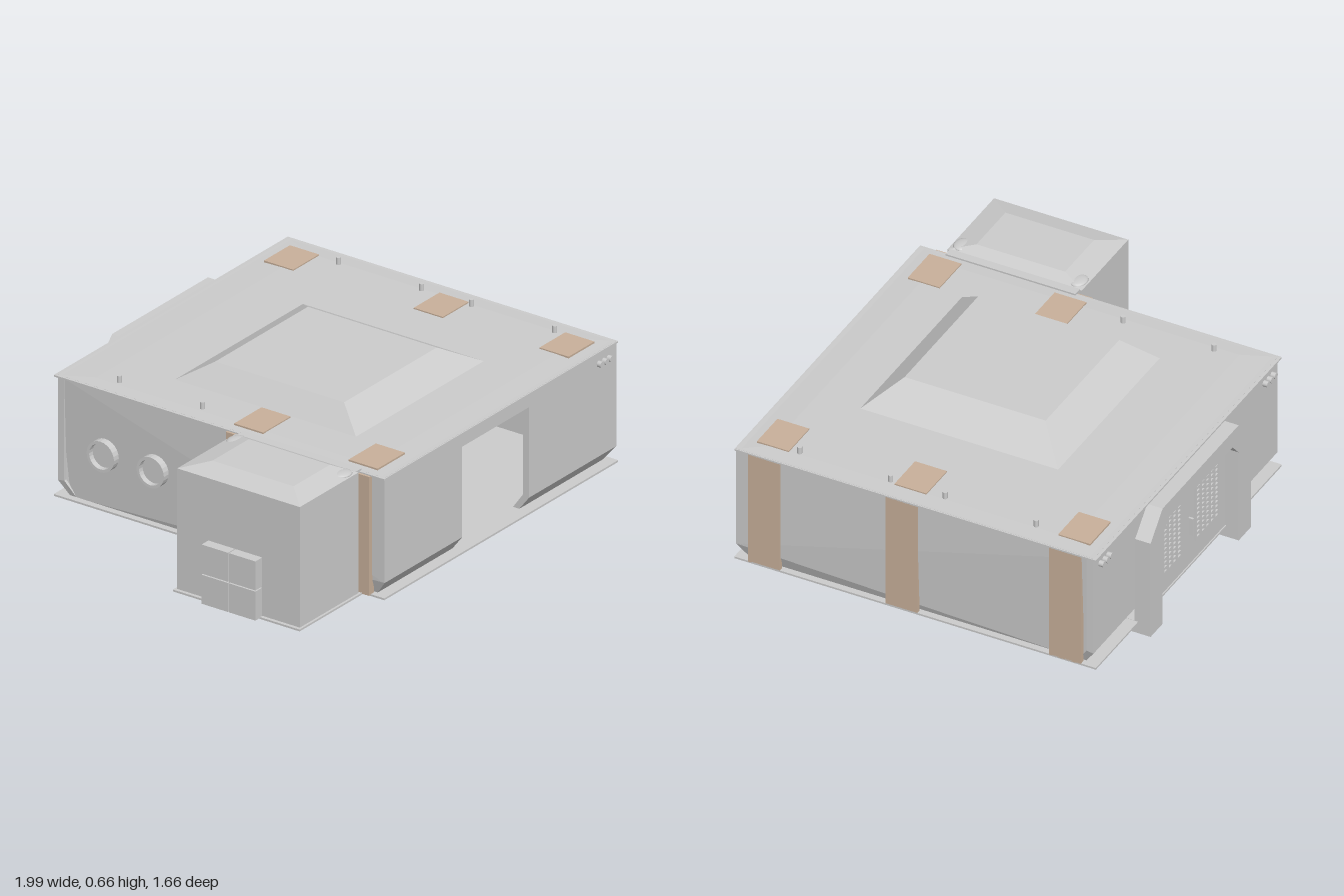
import * as THREE from 'three';
import { mergeGeometries } from 'three/addons/utils/BufferGeometryUtils.js';

const grey = new THREE.MeshStandardMaterial({ color: 0xcccccc, flatShading: true, side: THREE.DoubleSide });
const smooth = new THREE.MeshStandardMaterial({ color: 0xcccccc, side: THREE.DoubleSide });
const tan = new THREE.MeshStandardMaterial({ color: 0xc8b09a });

// Box given by its limits on each axis
function boxGeo(x0, x1, y0, y1, z0, z1) {
  return new THREE.BoxGeometry(x1 - x0, y1 - y0, z1 - z0)
    .translate((x0 + x1) / 2, (y0 + y1) / 2, (z0 + z1) / 2);
}

// Stack of rectangles [x0, x1, z0, z1, y], bottom first, closed at both ends
function loftGeo(rings) {
  const pts = rings.map(([x0, x1, z0, z1, y]) => [[x0, y, z1], [x1, y, z1], [x1, y, z0], [x0, y, z0]]);
  const pos = [];
  const quad = (a, b, c, d) => pos.push(...a, ...b, ...c, ...a, ...c, ...d);
  for (let r = 0; r < pts.length - 1; r++)
    for (let i = 0; i < 4; i++) {
      const j = (i + 1) % 4;
      quad(pts[r][i], pts[r][j], pts[r + 1][j], pts[r + 1][i]);
    }
  quad(...pts[pts.length - 1]);
  quad(...[...pts[0]].reverse());
  const g = new THREE.BufferGeometry();
  g.setAttribute('position', new THREE.Float32BufferAttribute(pos, 3));
  g.computeVertexNormals();
  return g;
}

const polygon = pts => new THREE.Shape(pts.map(p => new THREE.Vector2(...p)));

// Wall with a chamfered foot: profile of [z, y] drawn out along x
function wallGeo(profile, x0, x1) {
  const g = new THREE.ExtrudeGeometry(polygon(profile.map(([z, y]) => [-z, y])), { depth: x1 - x0, bevelEnabled: false });
  g.rotateY(Math.PI / 2).translate(x0, 0, 0);
  const p = g.attributes.position;
  for (let i = 0; i < p.count; i++)
    if (p.getY(i) < 0.06) p.setX(i, THREE.MathUtils.clamp(p.getX(i), -0.52, 0.96));
  g.computeVertexNormals();
  return g;
}

export function createModel() {
  const model = new THREE.Group();
  const add = (name, geo, mat = grey) => {
    const m = new THREE.Mesh(geo, mat);
    m.name = name;
    model.add(m);
    return m;
  };

  // Hollow main hall with a front doorway
  const front = [[0.765, 0.05], [0.815, 0.115], [0.815, 0.568], [0.785, 0.568], [0.785, 0.12], [0.735, 0.05]];
  const back = [[-0.71, 0.05], [-0.757, 0.115], [-0.757, 0.568], [-0.727, 0.568], [-0.727, 0.12], [-0.68, 0.05]];
  add('frontWallRight', wallGeo(front, -0.54, -0.03));
  add('frontWallLeft', wallGeo(front, 0.41, 0.985));
  add('doorLintel', boxGeo(-0.03, 0.41, 0.505, 0.568, 0.785, 0.815));
  add('backWall', wallGeo(back, -0.54, 0.985));
  const side = [[-0.71, 0.05], [-0.757, 0.115], [-0.757, 0.568], [0.815, 0.568], [0.815, 0.115], [0.765, 0.05]];
  add('rightWall', wallGeo(side, -0.54, -0.51));
  add('leftWall', wallGeo(side, 0.955, 0.985));
  add('floorPlate', boxGeo(-0.55, 0.99, 0.046, 0.054, -0.77, 0.82));
  add('roof', loftGeo([
    [-0.55, 0.99, -0.77, 0.82, 0.56], [-0.55, 0.99, -0.77, 0.82, 0.567],
    [-0.48, 0.91, -0.62, 0.7, 0.572],
  ]));
  add('roofHump', loftGeo([[-0.32, 0.54, -0.37, 0.52, 0.565], [-0.24, 0.37, -0.22, 0.4, 0.66]]));

  // Straps: a patch on the roof and floor joined by a band on the wall
  const strap = (z0, z1, xa, xb, w0, w1) => {
    add('strap', mergeGeometries([
      boxGeo(xa, xb, 0.565, 0.577, z0, z1),
      boxGeo(xa, xb, 0.042, 0.05, z0, z1),
      boxGeo(w0, w1, 0.05, 0.562, z0, z1),
    ]), tan);
  };
  for (const [z0, z1] of [[0.62, 0.76], [0.015, 0.155], [-0.705, -0.565]]) strap(z0, z1, 0.745, 0.915, 0.97, 0.99);
  for (const [z0, z1] of [[0.615, 0.755], [0.065, 0.205]]) strap(z0, z1, -0.505, -0.325, -0.56, -0.53);

  // Short roof posts
  for (const [x, z] of [[0.9, -0.46], [0.9, -0.06], [0.9, 0.18], [0.9, 0.58], [-0.46, -0.52], [-0.46, -0.12]])
    add('roofPost', new THREE.CylinderGeometry(0.01, 0.01, 0.045, 12).translate(x, 0.579, z), smooth);

  // Rows of three lamps
  for (const [x, z] of [[0.9, 0.818], [0.9, -0.762], [-0.46, -0.762]])
    for (const d of [-0.032, 0, 0.032])
      add('lamp', new THREE.CylinderGeometry(0.013, 0.013, 0.03, 12).rotateX(Math.PI / 2).translate(x + d, 0.515, z), smooth);

  // Round vents on the right wall
  const ventProfile = [[0, 0.008], [0.054, 0.008], [0.054, 0.032], [0.066, 0.032], [0.066, 0]].map(p => new THREE.Vector2(...p));
  for (const z of [-0.53, -0.29, -0.05])
    add('roundVent', new THREE.LatheGeometry(ventProfile, 24).rotateZ(Math.PI / 2).translate(-0.54, 0.29, z));

  // Rear portal frame with feet
  const arch = polygon([
    [-0.19, 0], [-0.09, 0], [-0.09, 0.42], [-0.04, 0.475], [0.49, 0.475], [0.54, 0.42], [0.54, 0],
    [0.64, 0], [0.64, 0.445], [0.54, 0.55], [-0.09, 0.55], [-0.19, 0.445],
  ]);
  add('rearPortal', new THREE.ExtrudeGeometry(arch, { depth: 0.07, bevelEnabled: false }).translate(0, 0, -0.825));
  for (const x of [-0.19, 0.54]) add('portalFoot', boxGeo(x, x + 0.1, 0, 0.055, -0.825, -0.715));

  // Rear door with two grilles seen from both sides
  add('rearDoor', boxGeo(-0.09, 0.54, 0.05, 0.475, -0.765, -0.72));
  for (const x0 of [-0.03, 0.28]) {
    const bars = [];
    for (let i = 0; i < 15; i++) {
      const y = 0.145 + i * 0.0215;
      bars.push(boxGeo(x0, x0 + 0.2, y, y + 0.009, -0.772, -0.71));
    }
    for (let i = 0; i < 6; i++) {
      const x = x0 + i * 0.038;
      bars.push(boxGeo(x, x + 0.01, 0.145, 0.455, -0.775, -0.707));
    }
    add('doorGrille', mergeGeometries(bars));
  }
  add('doorHandle', boxGeo(0.205, 0.215, 0.2, 0.28, -0.785, -0.7));

  // Annex with a shallow hipped roof
  add('annexBody', loftGeo([
    [-0.955, -0.57, 0.12, 0.71, 0.05], [-0.955, -0.57, 0.12, 0.71, 0.573],
    [-0.86, -0.62, 0.22, 0.61, 0.598],
  ]));
  add('annexFloor', boxGeo(-0.97, -0.55, 0.046, 0.054, 0.11, 0.72));
  add('annexJoint', boxGeo(-0.575, -0.535, 0.06, 0.575, 0.13, 0.7));
  for (const [z, s] of [[0.135, 1], [0.695, -1]])
    add('annexRoofCap', new THREE.SphereGeometry(0.045, 16, 8).scale(1, 0.25, 0.8).translate(-0.62, 0.576, z + s * 0.025), smooth);

  // Four lockers on the annex end
  for (const z of [0.27, 0.402])
    for (const y of [0.05, 0.18])
      add('locker', boxGeo(-1, -0.95, y, y + 0.125, z, z + 0.127));

  // Raised panel under the floor, with rivets and a slatted edge
  add('underPanel', loftGeo([[-0.09, 0.47, -0.27, 0.35, 0.038], [-0.1, 0.49, -0.29, 0.36, 0.05]]));
  for (let i = 0; i < 4; i++)
    for (let j = 0; j < 4; j++)
      add('rivet', new THREE.CylinderGeometry(0.007, 0.007, 0.01, 8).translate(-0.02 + i * 0.14, 0.034, -0.18 + j * 0.15));
  for (let i = 0; i < 14; i++)
    add('underSlat', boxGeo(-0.07 + i * 0.038, -0.05 + i * 0.038, 0.033, 0.04, -0.265, -0.235));

  return model;
}
